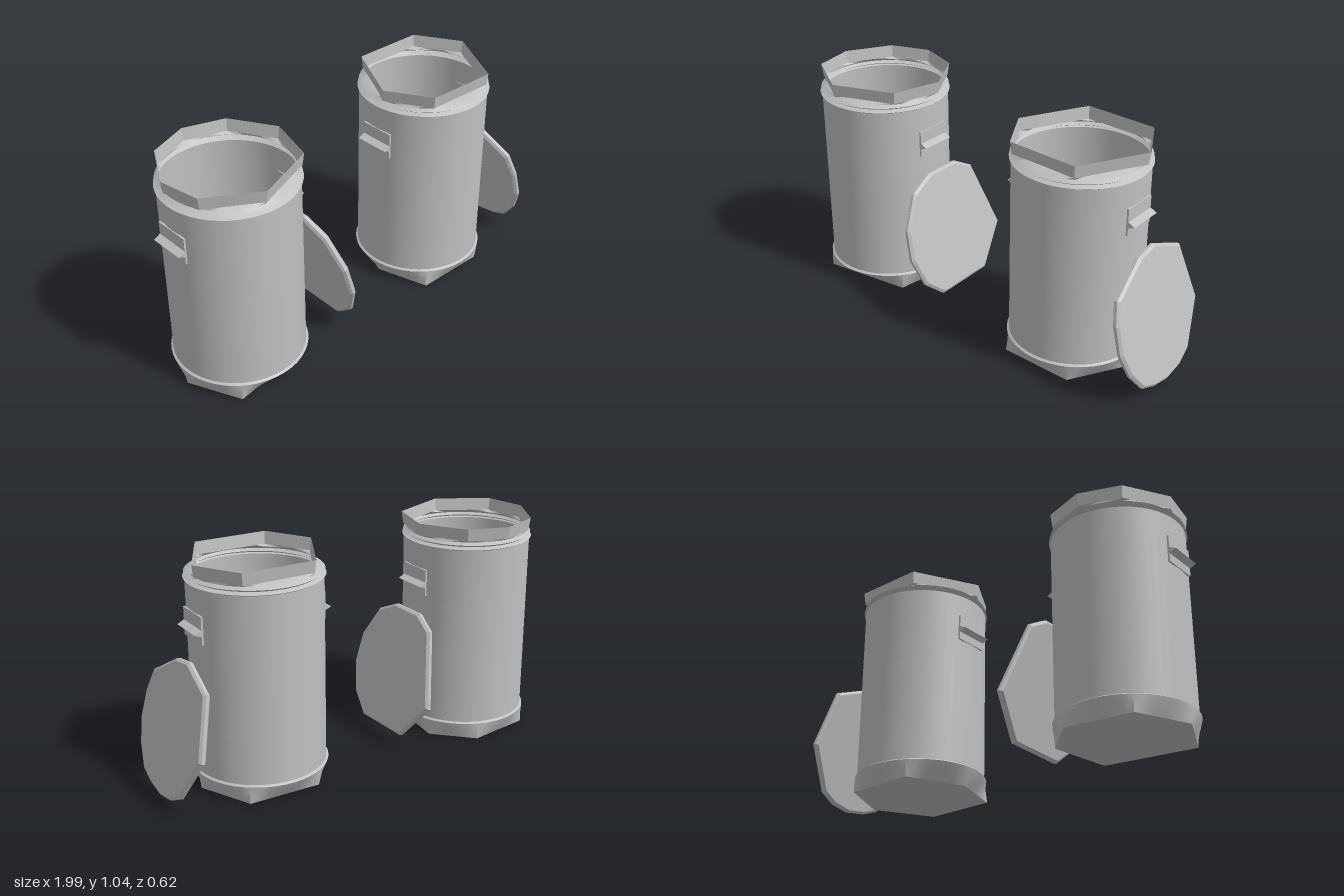
import * as THREE from 'three';
import { toCreasedNormals } from 'three/addons/utils/BufferGeometryUtils.js';

const STEPS = 48;

// Ring radii for a polygon whose corners are [step, radius] pairs in angular order
function polygonRing(corners) {
  const points = corners.map(([s, r]) => {
    const a = (s / STEPS) * Math.PI * 2;
    return [Math.cos(a) * r, Math.sin(a) * r, s];
  });
  const ring = [];
  points.forEach((p, i) => {
    const q = points[(i + 1) % points.length];
    const span = (q[2] - p[2] + STEPS) % STEPS;
    for (let k = 0; k < span; k++) {
      const a = ((p[2] + k) / STEPS) * Math.PI * 2;
      const c = Math.cos(a), s = Math.sin(a);
      const dx = q[0] - p[0], dz = q[1] - p[1];
      ring[(p[2] + k) % STEPS] = (p[0] * dz - p[1] * dx) / (c * dz - s * dx);
    }
  });
  return ring;
}

// Skin through [height, radius or ring of radii] levels
function loft(levels, creaseAngle = 0.5) {
  const pos = [], index = [];
  for (const [y, r] of levels) {
    for (let i = 0; i < STEPS; i++) {
      const a = (i / STEPS) * Math.PI * 2;
      const rad = Array.isArray(r) ? r[i] : r;
      pos.push(Math.cos(a) * rad, y, Math.sin(a) * rad);
    }
  }
  for (let l = 0; l < levels.length - 1; l++) {
    for (let i = 0; i < STEPS; i++) {
      const j = (i + 1) % STEPS;
      const a = l * STEPS + i, b = l * STEPS + j;
      index.push(a, a + STEPS, b, b, a + STEPS, b + STEPS);
    }
  }
  const g = new THREE.BufferGeometry();
  g.setAttribute('position', new THREE.Float32BufferAttribute(pos, 3));
  g.setIndex(index);
  return toCreasedNormals(g, creaseAngle);
}

export function createModel() {
  const metal = new THREE.MeshStandardMaterial({ color: 0xc0c0c0, side: THREE.DoubleSide });
  metal.name = 'grey metal';

  const add = (parent, name, geometry) => {
    const mesh = new THREE.Mesh(geometry, metal);
    mesh.name = name;
    parent.add(mesh);
    return mesh;
  };

  function makeCan(name, x, baseCorners, rimCorners) {
    const can = new THREE.Group();
    can.name = name;
    can.position.x = x;
    const base = polygonRing(baseCorners), rim = polygonRing(rimCorners);

    // Angular foot with a closed bottom, flaring up to a round lip
    add(can, 'base', loft([[0, 0], [0, base], [0.05, base.map(r => (r + 0.62) / 3)],
      [0.078, 0.308], [0.085, 0.298]]));
    add(can, 'body', loft([[0.085, 0.298], [0.94, 0.298]]));
    // Ribbed neck
    add(can, 'neck', loft([[0.94, 0.298], [0.945, 0.306], [0.955, 0.287], [0.965, 0.302],
      [0.976, 0.285], [0.985, rim.map(r => r - 0.008)]]));
    // Thin angular rim, open at the top
    add(can, 'rim', loft([[0.985, rim.map(r => r - 0.008)], [1.042, rim]]));

    // Side handles: thin back plate and a wedge-shaped grip
    for (const side of [1, -1]) {
      const handle = new THREE.Group();
      handle.name = side > 0 ? 'leftHandle' : 'rightHandle';
      handle.rotation.y = side > 0 ? 0 : Math.PI;
      const plate = add(handle, 'handlePlate', new THREE.BoxGeometry(0.009, 0.125, 0.166));
      plate.position.set(0.297, 0.765, 0);
      const wedge = new THREE.Shape([[0.295, 0.738], [0.333, 0.753], [0.295, 0.772]]
        .map(p => new THREE.Vector2(...p)));
      const grip = add(handle, 'handleGrip',
        new THREE.ExtrudeGeometry(wedge, { depth: 0.166, bevelEnabled: false }));
      grip.position.z = -0.083;
      can.add(handle);
    }
    return can;
  }

  // Flat lid leaning on the can; outline given as [z, y] in its standing pose
  function makeLid(name, x, y, outline) {
    const tilt = 0.245;
    const shape = new THREE.Shape(outline.map(([z, h]) =>
      new THREE.Vector2(-z, (h - y) / Math.cos(tilt))));
    const g = new THREE.ExtrudeGeometry(shape, {
      depth: 0.014, bevelThickness: 0.01, bevelSize: 0.012, bevelOffset: -0.012, bevelSegments: 1,
    });
    g.translate(0, 0, -0.007);
    g.rotateY(Math.PI / 2);
    const lid = new THREE.Group();
    lid.name = name;
    lid.position.set(x, y, 0);
    lid.rotation.z = tilt;
    add(lid, 'lidDisc', g);
    return lid;
  }

  const model = new THREE.Group();
  model.name = 'twoCansWithLids';

  model.add(makeCan('rightCan', -0.667,
    [[5, 0.3], [17, 0.31], [24, 0.3], [31, 0.31], [39, 0.31], [45, 0.305]],
    [[5, 0.31], [13, 0.3], [20, 0.31], [25, 0.305], [31, 0.305], [36, 0.31], [41, 0.31], [47, 0.312]]));
  model.add(makeCan('leftCan', 0.483,
    [[0, 0.3], [8, 0.3], [17, 0.32], [24, 0.27], [32, 0.3], [41, 0.31]],
    [[8, 0.3], [17, 0.31], [23, 0.31], [32, 0.3], [41, 0.315], [47, 0.315]]));

  model.add(makeLid('rightLid', -0.26, 0.34,
    [[0.08, 0.625], [-0.1, 0.625], [-0.2, 0.57], [-0.31, 0.24], [-0.155, 0.06], [0.15, 0.055],
      [0.25, 0.14], [0.302, 0.28], [0.29, 0.42], [0.2, 0.57]]));
  model.add(makeLid('leftLid', 0.898, 0.325,
    [[0.06, 0.61], [-0.05, 0.625], [-0.235, 0.55], [-0.3, 0.28], [-0.18, 0.08], [-0.1, 0.04],
      [0, 0.025], [0.1, 0.04], [0.18, 0.07], [0.25, 0.16], [0.29, 0.27], [0.285, 0.4], [0.25, 0.5]]));
  return model;
}
